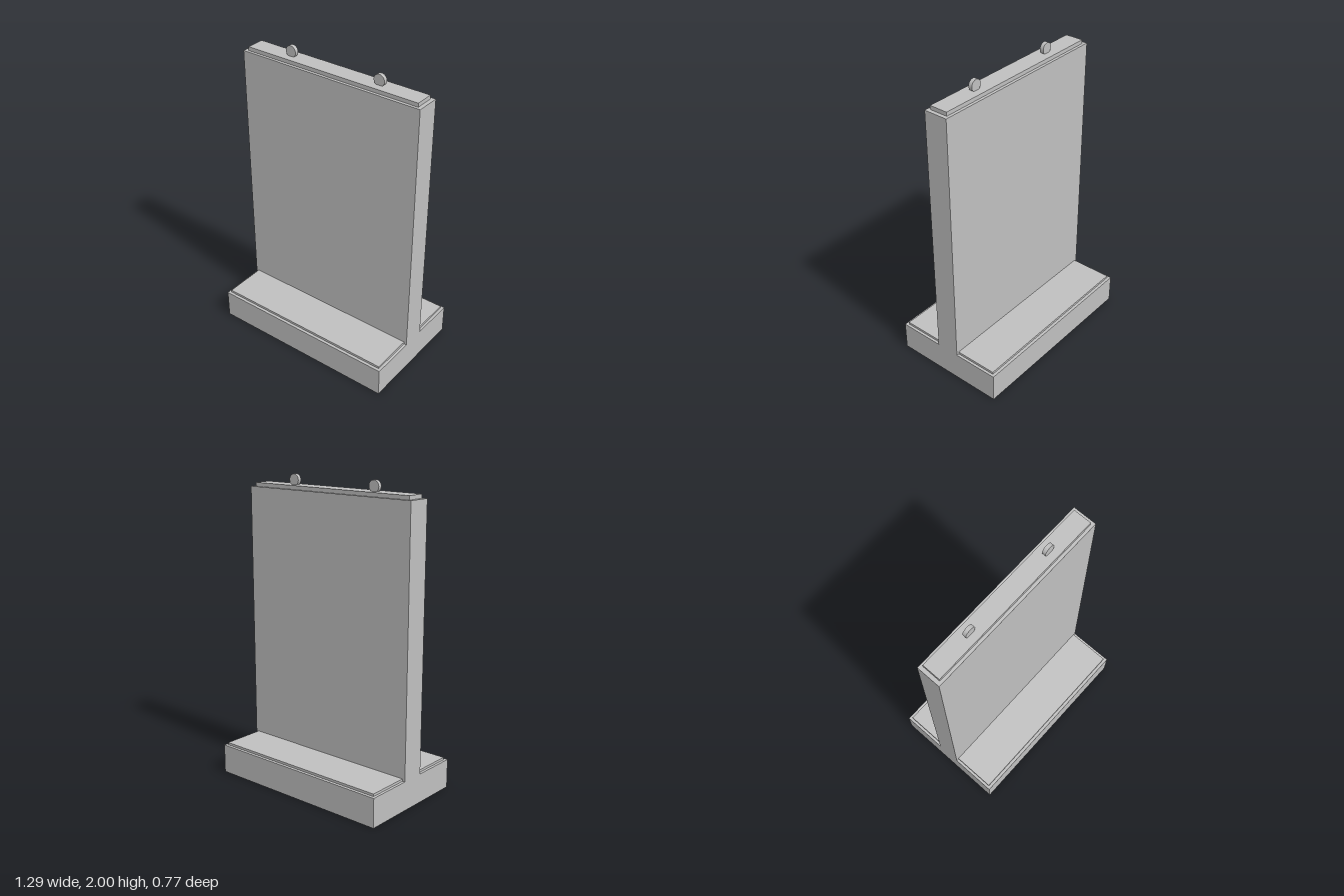
import * as THREE from 'three';

export function createModel() {
  const model = new THREE.Group();
  const concrete = new THREE.MeshStandardMaterial({ color: 0xbfbfbf });
  concrete.name = 'concrete grey';

  const add = (name, geometry, x, y, z) => {
    const mesh = new THREE.Mesh(geometry, concrete);
    mesh.name = name;
    mesh.position.set(x, y, z);
    model.add(mesh);
    return mesh;
  };
  // Box standing between two heights
  const slab = (name, width, depth, bottom, top, z = 0) =>
    add(name, new THREE.BoxGeometry(width, top - bottom, depth), 0, (bottom + top) / 2, z);

  // Wide foot and upright wall, forming an inverted T
  const width = 1.286, wallDepth = 0.16;
  slab('footing', width, 0.774, 0, 0.193);
  slab('wall', width, wallDepth, 0.193, 1.907);

  // Inset raised ledges on the foot, front and back
  const ledgeDepth = 0.367 - wallDepth / 2;
  for (const side of [1, -1]) {
    slab(side > 0 ? 'frontLedge' : 'backLedge', 1.25, ledgeDepth, 0.193, 0.209,
      side * (wallDepth + ledgeDepth) / 2);
  }

  // Inset cap along the top of the wall
  slab('topCap', 1.236, 0.122, 1.907, 1.932);

  // Lifting discs on the cap
  for (const side of [1, -1]) {
    const disc = add(side > 0 ? 'leftLiftingDisc' : 'rightLiftingDisc',
      new THREE.CylinderGeometry(0.0375, 0.0375, 0.025, 32), side * 0.322, 1.9625, 0);
    disc.rotation.x = Math.PI / 2;
  }
  return model;
}
